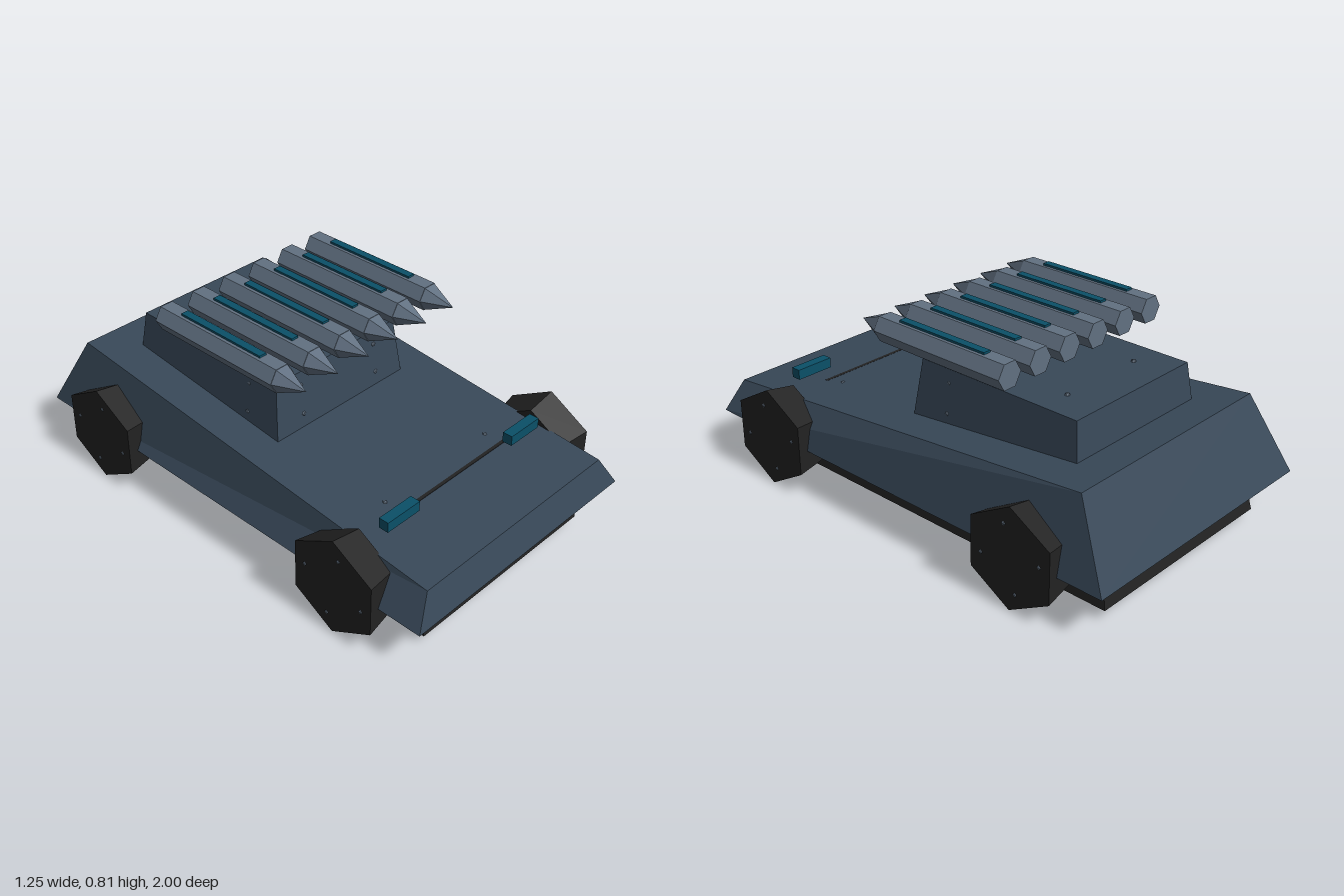
import * as THREE from 'three';

const material = (name, color, side = THREE.FrontSide) => {
  const m = new THREE.MeshStandardMaterial({ color, side, flatShading: true });
  m.name = name;
  return m;
};

// Box whose corners follow a rule; the lower face can be left open
function shapedBox(rule, openBelow) {
  const geo = new THREE.BoxGeometry(2, 2, 2);
  const p = geo.attributes.position;
  for (let i = 0; i < p.count; i++) p.setXYZ(i, ...rule(p.getX(i), p.getY(i) > 0, p.getZ(i)));
  if (openBelow) {
    const index = Array.from(geo.index.array);
    index.splice(18, 6);
    geo.setIndex(index);
    geo.clearGroups();
  }
  geo.computeVertexNormals();
  return geo;
}

export function createModel() {
  const model = new THREE.Group();
  const armour = material('slate armour', 0x384858, THREE.DoubleSide);
  const black = material('black', 0x222222, THREE.DoubleSide);
  const steel = material('grey steel', 0x617081);
  const teal = material('teal', 0x0b5068);

  const add = (name, geo, mat, x = 0, y = 0, z = 0, parent = model) => {
    const mesh = new THREE.Mesh(geo, mat);
    mesh.name = name;
    mesh.position.set(x, y, z);
    parent.add(mesh);
    return mesh;
  };

  // Wedge hull, low at the nose and open underneath
  add('hull', shapedBox((x, top, z) => top
    ? [x * 0.497, z > 0 ? 0.315 : 0.495, z > 0 ? 0.96 : -0.84]
    : [x * 0.575, 0.19, z], true), armour);

  // Tapered chassis skirt, open underneath
  add('chassis', shapedBox((x, top, z) => top
    ? [x * 0.415, 0.305, z * 0.865]
    : [x * 0.45, 0.045, z * 0.92], true), black);

  // Turret block
  add('turret', shapedBox((x, top, z) => top
    ? [x * 0.32, 0.63, z > 0 ? 0.07 : -0.67]
    : [x * 0.347, 0.38, z > 0 ? 0.102 : -0.702], true), armour);

  // Thin seam across the bonnet
  add('bonnetSeam', new THREE.BoxGeometry(0.62, 0.006, 0.014), black, 0, 0.344, 0.653);

  const boltGeo = new THREE.IcosahedronGeometry(0.011, 0);
  const bolt = (x, y, z) => add('bolt', boltGeo, steel, x, y, z);

  // Hexagonal wheels, wider on the outside
  const wheelGeo = new THREE.CylinderGeometry(0.207, 0.183, 0.132, 6);
  wheelGeo.rotateY(Math.PI / 6).rotateZ(-Math.PI / 2);
  for (const side of [-1, 1]) {
    for (const z of [0.643, -0.637]) {
      const wheel = add('wheel', wheelGeo, black, side * 0.554, 0.208, z);
      if (side < 0) wheel.rotation.y = Math.PI;
      for (let i = 0; i < 4; i++) {
        const a = 0.2 + i * Math.PI / 2;
        bolt(side * 0.614, 0.208 + 0.135 * Math.sin(a), z - 0.135 * Math.cos(a));
      }
    }
    // Headlight bars
    add('headlight', new THREE.BoxGeometry(0.165, 0.042, 0.042), teal, side * 0.345, 0.402, 0.7);

    // Bolts on the turret, chassis ends and bonnet
    for (const y of [0.455, 0.575]) {
      const inset = (y - 0.38) * 0.12;
      bolt(side * 0.2, y, 0.098 - inset);
      bolt(side * (0.343 - inset), y, -0.07);
    }
    bolt(side * 0.19, 0.63, -0.52);
    for (const end of [-1, 1]) bolt(side * 0.265, 0.103, end * 0.904);
    bolt(side * 0.285, 0.349, 0.58);
  }

  // Row of six hexagonal rockets with pointed noses and top stripes
  const bodyGeo = new THREE.CylinderGeometry(0.057, 0.057, 0.62, 6);
  bodyGeo.rotateY(Math.PI / 6).rotateX(Math.PI / 2);
  const noseGeo = new THREE.ConeGeometry(0.057, 0.125, 6);
  noseGeo.rotateY(Math.PI / 6).rotateX(Math.PI / 2);
  const stripeGeo = new THREE.BoxGeometry(0.032, 0.02, 0.42);
  for (let i = 0; i < 6; i++) {
    const rocket = new THREE.Group();
    rocket.name = 'rocket';
    rocket.position.set(-0.398 + i * 0.159, 0.75, 0);
    model.add(rocket);
    add('rocketBody', bodyGeo, steel, 0, 0, -0.125, rocket);
    add('rocketNose', noseGeo, steel, 0, 0, 0.2425, rocket);
    add('rocketStripe', stripeGeo, teal, 0, 0.048, -0.12, rocket);
  }
  return model;
}
